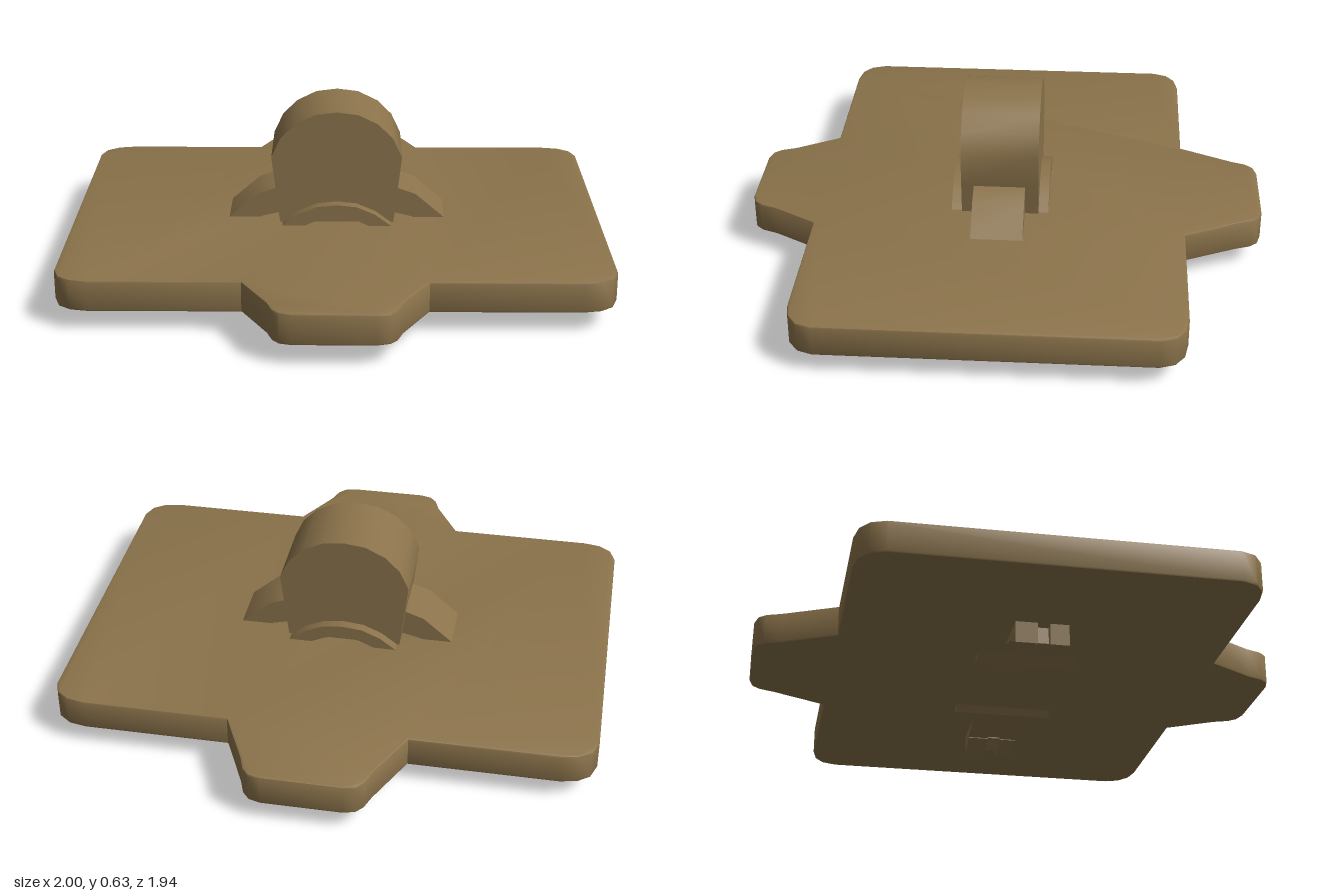
import * as THREE from 'three';
import { toCreasedNormals } from 'three/addons/utils/BufferGeometryUtils.js';

const material = new THREE.MeshStandardMaterial({ color: 0x8b734b });

const shapeOf = (points) => new THREE.Shape(points.map(([x, y]) => new THREE.Vector2(x, y)));
// Closes a right-hand half outline with its mirror image
const mirrored = (half) => [...half, ...half.filter(([x]) => x !== 0).reverse().map(([x, y]) => [-x, y])];

function part(name, geometry) {
  const mesh = new THREE.Mesh(toCreasedNormals(geometry, 0.6), material);
  mesh.name = name;
  return mesh;
}

// Extrudes a front outline from z0 to z1
function slab(points, z0, z1) {
  const geometry = new THREE.ExtrudeGeometry(shapeOf(points), { depth: z1 - z0, bevelEnabled: false });
  return geometry.translate(0, 0, z0);
}

// Rounded plate with a tapered tab at front and back
function plate() {
  const side = (body, tip) => [
    [0.145, tip], [0.19, tip - 0.012], [0.215, tip - 0.04], [0.235, tip - 0.095],
    [0.33, body], [0.87, body], [0.935, body - 0.012], [0.98, body - 0.045], [1, body - 0.1],
  ];
  const back = side(0.68, 0.974);
  const front = side(0.71, 0.97).map(([x, y]) => [x, -y]).reverse();
  const b = 0.008;
  const geometry = new THREE.ExtrudeGeometry(shapeOf(mirrored([...back, ...front])), {
    depth: 0.118 - 2 * b, bevelThickness: b, bevelSize: b, bevelOffset: -b, bevelSegments: 2,
  });
  return part('plate', geometry.rotateX(-Math.PI / 2).translate(0, 0.082 + b, 0));
}

// Round-topped knob in the middle
function knob() {
  const half = [
    [0.205, 0.12], [0.215, 0.2], [0.23, 0.33], [0.245, 0.46], [0.21, 0.535],
    [0.155, 0.59], [0.08, 0.627], [0, 0.637],
  ];
  return part('knob', slab(mirrored(half), -0.13, 0.16));
}

// Curved band under the knob, its ends poking out below the plate
function arch() {
  const outer = [[0.24, 0.055], [0.3, 0.085], [0.27, 0.13], [0.205, 0.2], [0.145, 0.245], [0.075, 0.275], [0, 0.283]];
  const inner = [[0, 0.235], [0.065, 0.225], [0.12, 0.2], [0.18, 0.15]];
  const outline = [
    ...outer, ...outer.slice(0, -1).reverse().map(([x, y]) => [-x, y]),
    ...inner.slice(1).reverse().map(([x, y]) => [-x, y]), ...inner,
  ];
  return part('arch', slab(outline, -0.167, 0.2));
}

// Bent arm that passes through the plate and ends in three toes
function arm(side) {
  const group = new THREE.Group();
  group.name = side > 0 ? 'leftArm' : 'rightArm';
  const limb = [
    [0.18, 0.23], [0.29, 0.203], [0.33, 0.09], [0.42, 0.065], [0.49, 0.045],
    [0.51, 0.085], [0.41, 0.2], [0.3, 0.295], [0.225, 0.322], [0.18, 0.33],
  ];
  const outerToe = [[0.48, 0.045], [0.53, 0.02], [0.56, 0.005], [0.565, 0.085], [0.48, 0.1]];
  const middleToe = [[0.47, 0.045], [0.49, 0.045], [0.515, 0.01], [0.53, 0.02], [0.525, 0.1], [0.47, 0.1]];
  // Mirrors an outline to this side, keeping it counterclockwise
  const turn = (points) => (side > 0 ? points : points.map(([x, y]) => [-x, y]).reverse());
  group.add(
    part('limb', slab(turn(limb), -0.08, 0.113)),
    part('backToe', slab(turn(outerToe), -0.08, 0)),
    part('middleToe', slab(turn(middleToe), 0, 0.045)),
    part('frontToe', slab(turn(outerToe), 0.045, 0.113)),
  );
  return group;
}

export function createModel() {
  const model = new THREE.Group();
  model.name = 'mountingPlate';
  model.add(plate(), knob(), arch(), arm(1), arm(-1));
  return model;
}
